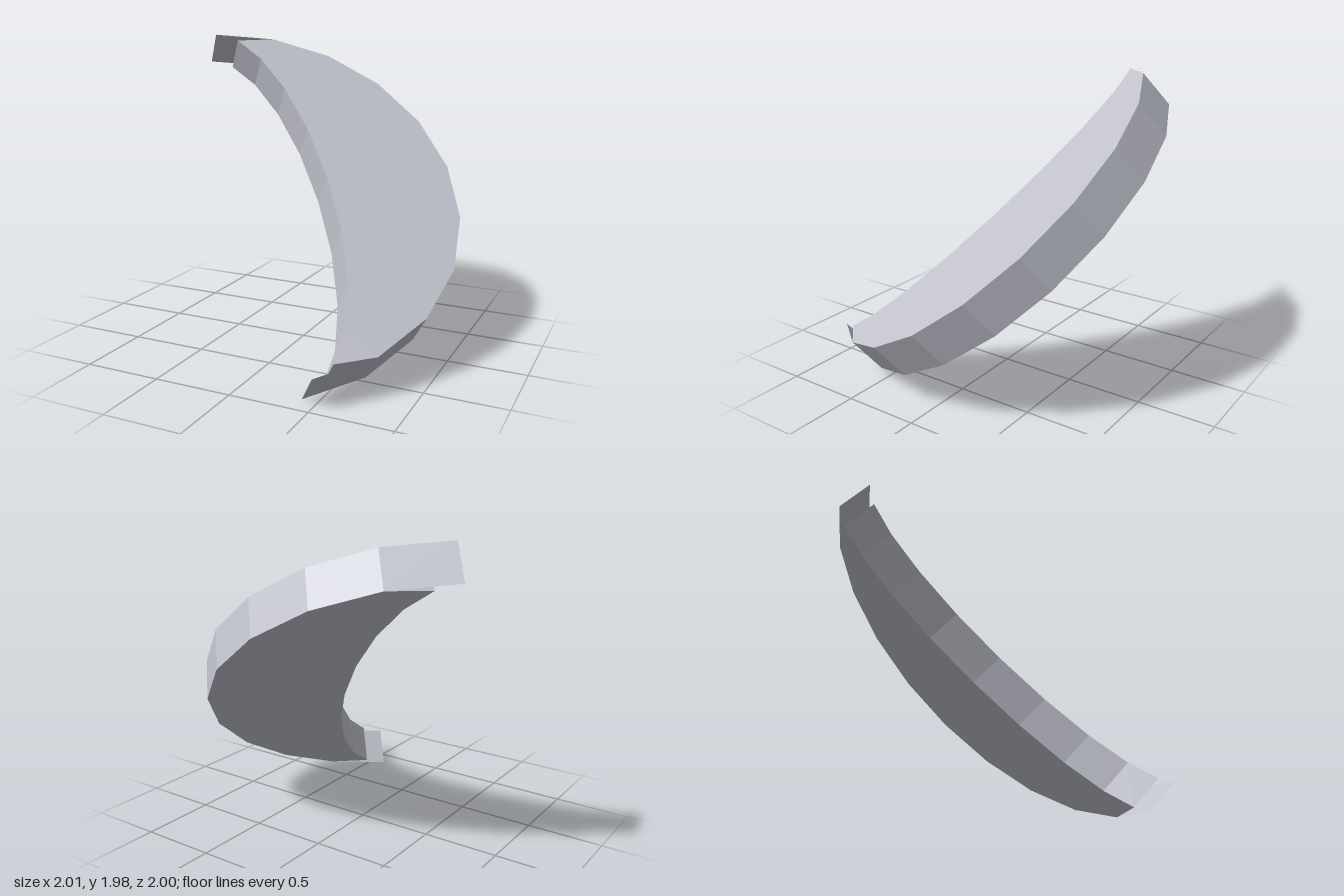
import * as THREE from 'three';

const R = 1.335;        // radius of the outer half circle
const INNER = 0.35;     // inner curve is the same half circle, flattened
const DEPTH = 0.268;    // plate thickness
const SEGMENTS = 10;

// Point on the half circle; squash = 1 is the outer curve
function arcPoint(i, squash = 1) {
  const a = Math.PI / 2 - (i * Math.PI) / SEGMENTS;
  return new THREE.Vector2(R * squash * Math.cos(a), R * Math.sin(a));
}

// Thin strip standing on the line from a to b
function strip(a, b) {
  const g = new THREE.BufferGeometry();
  g.setAttribute('position', new THREE.Float32BufferAttribute([
    a.x, a.y, -DEPTH, a.x, a.y, 0, b.x, b.y, 0,
    a.x, a.y, -DEPTH, b.x, b.y, 0, b.x, b.y, -DEPTH,
  ], 3));
  g.computeVertexNormals();
  return g;
}

export function createModel() {
  const model = new THREE.Group();
  model.name = 'crescent';
  const paleGrey = new THREE.MeshStandardMaterial({ color: 0xc0c2cc, side: THREE.DoubleSide, flatShading: true });
  paleGrey.name = 'paleGrey';

  const add = (name, geometry) => {
    const mesh = new THREE.Mesh(geometry, paleGrey);
    mesh.name = name;
    tilted.add(mesh);
    return mesh;
  };

  // Tilted frame: x bulges outward, y runs along the chord, z is the plate normal
  const tilted = new THREE.Group();
  tilted.name = 'tiltedCrescent';
  const along = new THREE.Vector3(-0.526, 0.669, -0.526).normalize();
  const normal = new THREE.Vector3(0.72, 0.02, -0.695).cross(along).normalize();
  const outward = along.clone().cross(normal);
  tilted.quaternion.setFromRotationMatrix(new THREE.Matrix4().makeBasis(outward, along, normal));
  tilted.position.set(-0.18, 1.093, 0.30);
  model.add(tilted);

  // Crescent plate with blunt ends
  const outline = [];
  for (let i = 1; i < SEGMENTS; i++) outline.push(arcPoint(i));
  for (let i = SEGMENTS - 1; i > 0; i--) outline.push(arcPoint(i, INNER));
  const plate = new THREE.ExtrudeGeometry(new THREE.Shape(outline), { depth: DEPTH, bevelEnabled: false });
  add('crescentPlate', plate).position.z = -DEPTH;

  // The outer rim runs on past both ends as a thin sheet
  add('upperRimTail', strip(arcPoint(1), arcPoint(0)));
  add('lowerRimTail', strip(arcPoint(SEGMENTS), arcPoint(SEGMENTS - 1)));

  return model;
}
